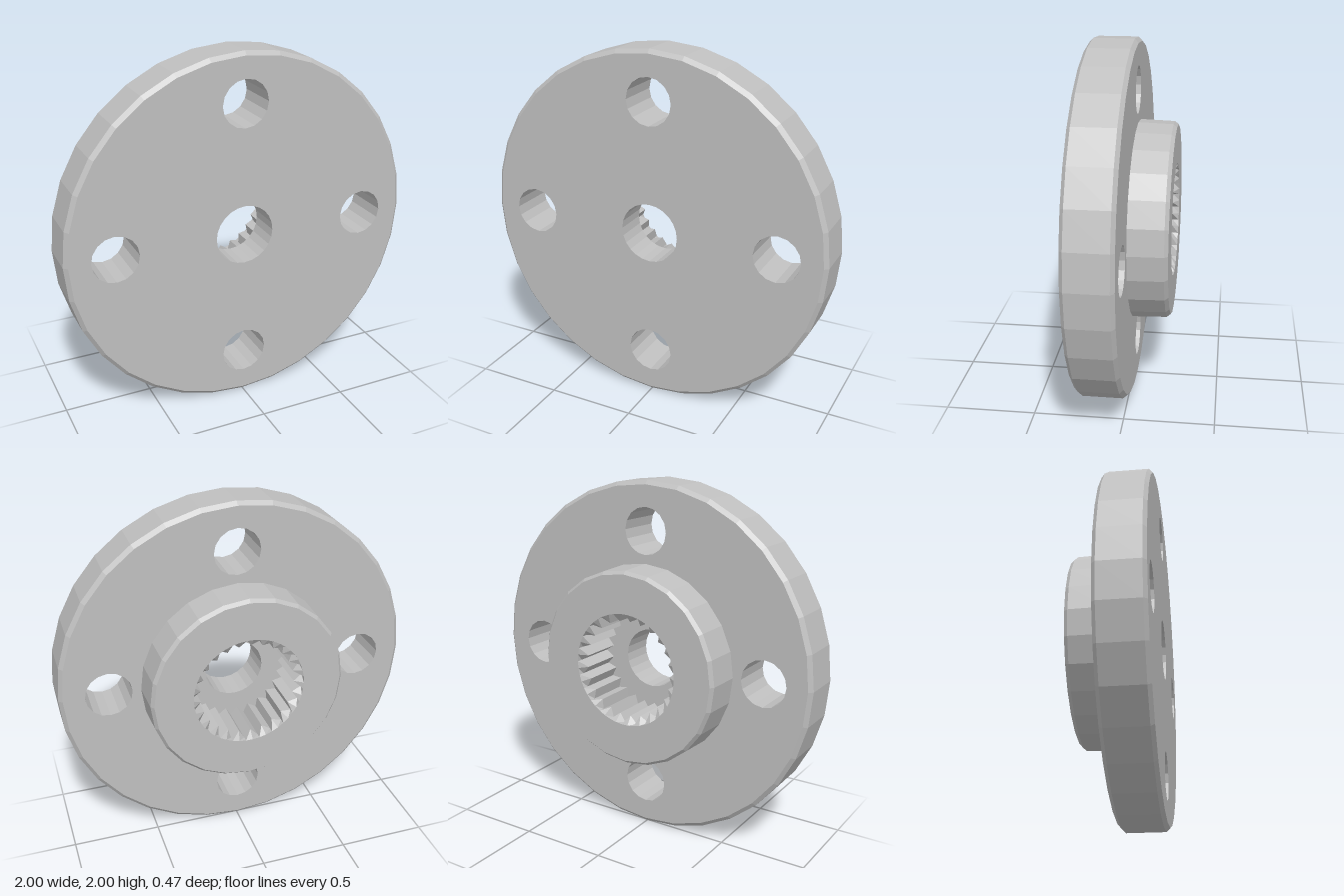
import * as THREE from 'three';

const FRONT = 0.235, BACK = -0.025, HUB_END = -0.235, FLOOR = 0.045;

// Closed ring of n points; radius may alternate between two values for teeth
function ring(n, rEven, rOdd = rEven, cx = 0, cy = 0) {
  return Array.from({ length: n }, (_, i) => {
    const a = (i / n) * Math.PI * 2, r = i % 2 ? rOdd : rEven;
    return new THREE.Vector2(cx + r * Math.cos(a), cy + r * Math.sin(a));
  });
}

// Faceted wall through rings [points, z]; faces outward when z falls, inward when it rises
function loft(rings) {
  const pos = [], idx = [], n = rings[0][0].length;
  for (const [pts, z] of rings) for (const p of pts) pos.push(p.x, p.y, z);
  for (let k = 0; k < rings.length - 1; k++) {
    for (let i = 0; i < n; i++) {
      const j = (i + 1) % n;
      const a = k * n + i, b = k * n + j, c = b + n, d = a + n;
      idx.push(a, d, b, d, c, b);
    }
  }
  const g = new THREE.BufferGeometry();
  g.setAttribute('position', new THREE.Float32BufferAttribute(pos, 3));
  g.setIndex(idx);
  const flat = g.toNonIndexed();
  flat.computeVertexNormals();
  return flat;
}

// Flat plate with holes at height z, facing +z or -z
function cap(outline, holes, z, back = false) {
  const s = new THREE.Shape(outline);
  s.holes = holes.map(h => new THREE.Path(h));
  const g = new THREE.ShapeGeometry(s);
  if (back) {
    const ix = g.index.array;
    for (let i = 0; i < ix.length; i += 3) [ix[i], ix[i + 1]] = [ix[i + 1], ix[i]];
    g.computeVertexNormals();
  }
  return g.translate(0, 0, z);
}

export function createModel() {
  const model = new THREE.Group();
  model.name = 'splinedFlange';
  const metal = new THREE.MeshStandardMaterial({ color: 0xbfbfbf });
  metal.name = 'light grey metal';

  const body = new THREE.Group();
  body.name = 'body';
  body.position.y = 1;
  model.add(body);
  const add = (name, geometry) => {
    const m = new THREE.Mesh(geometry, metal);
    m.name = name;
    body.add(m);
  };

  const rim = ring(32, 1), rimFace = ring(32, 0.978);
  const boltHoles = [[0.73, 0], [0, 0.73], [-0.73, 0], [0, -0.73]]
    .map(([x, y]) => ring(16, 0.13, 0.13, x, y));
  const bore = ring(24, 0.167);
  const hubBase = ring(24, 0.553), hubTop = ring(24, 0.547), hubFace = ring(24, 0.53);
  const mouth = ring(50, 0.315), teeth = ring(50, 0.315, 0.268);

  // Disc with chamfered rim
  add('discRim', loft([[rimFace, FRONT], [rim, FRONT - 0.02], [rim, BACK - -0.02], [rimFace, BACK]]));
  add('discFront', cap(rimFace, [...boltHoles, bore], FRONT));
  add('discBack', cap(rimFace, [...boltHoles, hubBase], BACK, true));
  for (const h of boltHoles) add('boltHole', loft([[h, BACK], [h, FRONT]]));

  // Raised hub on the back
  add('hubWall', loft([[hubBase, BACK], [hubTop, HUB_END + 0.02], [hubFace, HUB_END]]));
  add('hubFace', cap(hubFace, [mouth], HUB_END, true));

  // Toothed socket with tapered entry, its floor and the through bore
  add('splineSocket', loft([[mouth, HUB_END], [teeth, HUB_END + 0.035], [teeth, FLOOR]]));
  add('socketFloor', cap(teeth, [bore], FLOOR, true));
  add('centreBore', loft([[bore, FLOOR], [bore, FRONT]]));

  return model;
}
